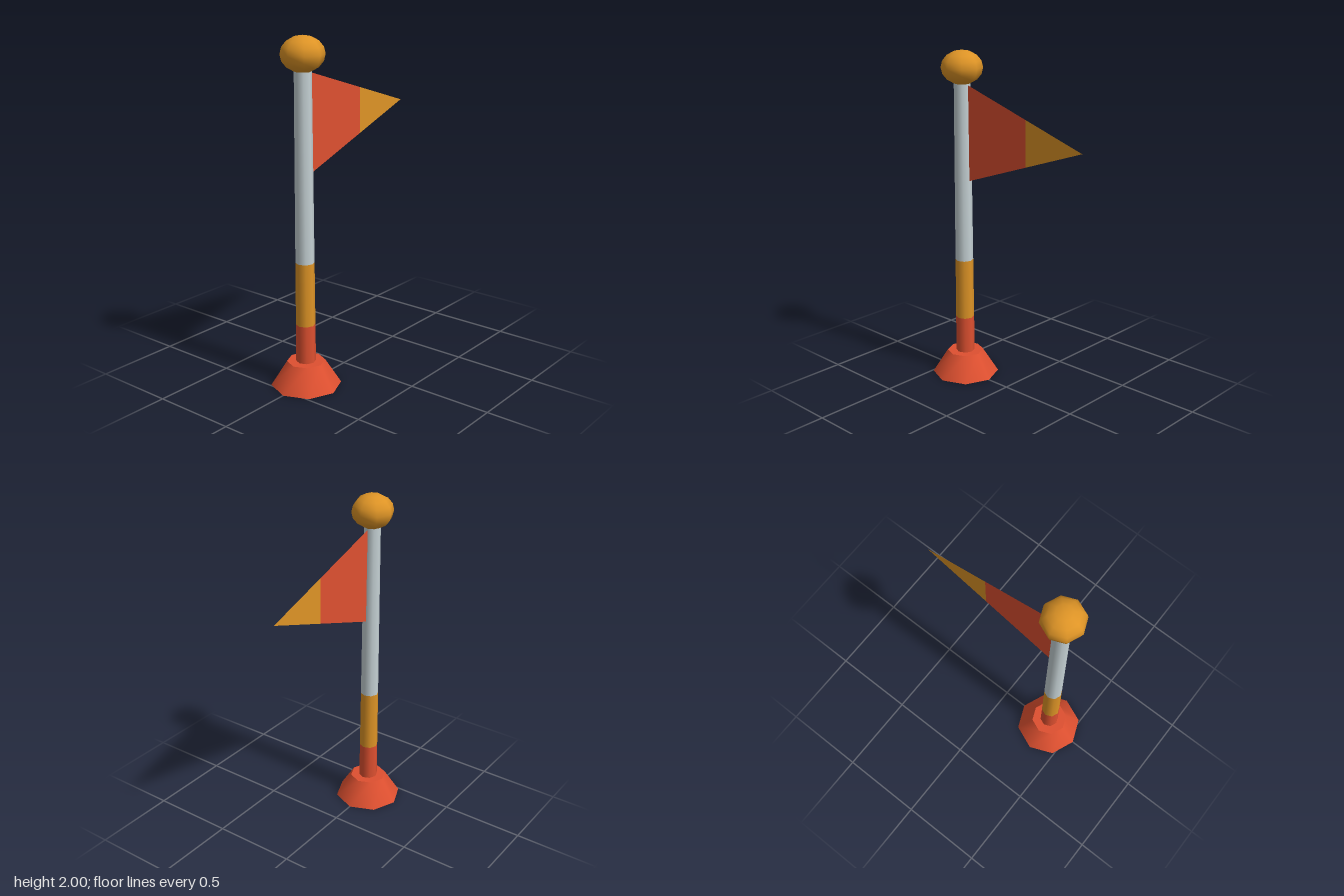
import * as THREE from 'three';

const SIDES = 8;
const POLE_X = -0.348;

export function createModel() {
  const model = new THREE.Group();
  model.name = 'flagpole';

  const material = (name, color, side = THREE.FrontSide) =>
    new THREE.MeshStandardMaterial({ name, color, side });
  const red = material('red', 0xde5030);
  const yellow = material('yellow', 0xde9426);
  const grey = material('paleGrey', 0xc5d1d4);
  red.side = yellow.side = THREE.DoubleSide; // shared with the thin pennant

  const add = (name, geometry, mat, x = 0, y = 0) => {
    const mesh = new THREE.Mesh(geometry, mat);
    mesh.name = name;
    mesh.position.set(x, y, 0);
    model.add(mesh);
    return mesh;
  };

  // Flared foot
  add('base', new THREE.CylinderGeometry(0.11, 0.202, 0.145, SIDES), red, POLE_X, 0.0725);

  // Tapered pole in three painted bands
  const bottom = 0.1, top = 1.83;
  const radiusAt = (y) => THREE.MathUtils.lerp(0.057, 0.048, (y - bottom) / (top - bottom));
  const bands = [
    ['lowerPole', bottom, 0.37, red],
    ['middlePole', 0.37, 0.74, yellow],
    ['upperPole', 0.74, top, grey],
  ];
  for (const [name, y0, y1, mat] of bands) {
    const tube = new THREE.CylinderGeometry(radiusAt(y1), radiusAt(y0), y1 - y0, SIDES, 1, true);
    add(name, tube, mat, POLE_X, (y0 + y1) / 2);
  }

  // Slightly flattened ball on top
  add('finial', new THREE.SphereGeometry(0.122, SIDES, 8), yellow, POLE_X, 1.9).scale.y = 0.82;

  // Flat pennant: red cloth with a yellow tip
  const hoistX = -0.302, splitX = 0.145;
  const tip = new THREE.Vector2(0.545, 1.533);
  const hoistTop = new THREE.Vector2(hoistX, 1.802);
  const hoistBottom = new THREE.Vector2(hoistX, 1.235);
  const t = (splitX - hoistX) / (tip.x - hoistX);
  const splitTop = hoistTop.clone().lerp(tip, t);
  const splitBottom = hoistBottom.clone().lerp(tip, t);
  const flat = (...points) => new THREE.ShapeGeometry(new THREE.Shape(points));
  add('pennantCloth', flat(hoistBottom, splitBottom, splitTop, hoistTop), red);
  add('pennantTip', flat(splitBottom, tip, splitTop), yellow);

  return model;
}
